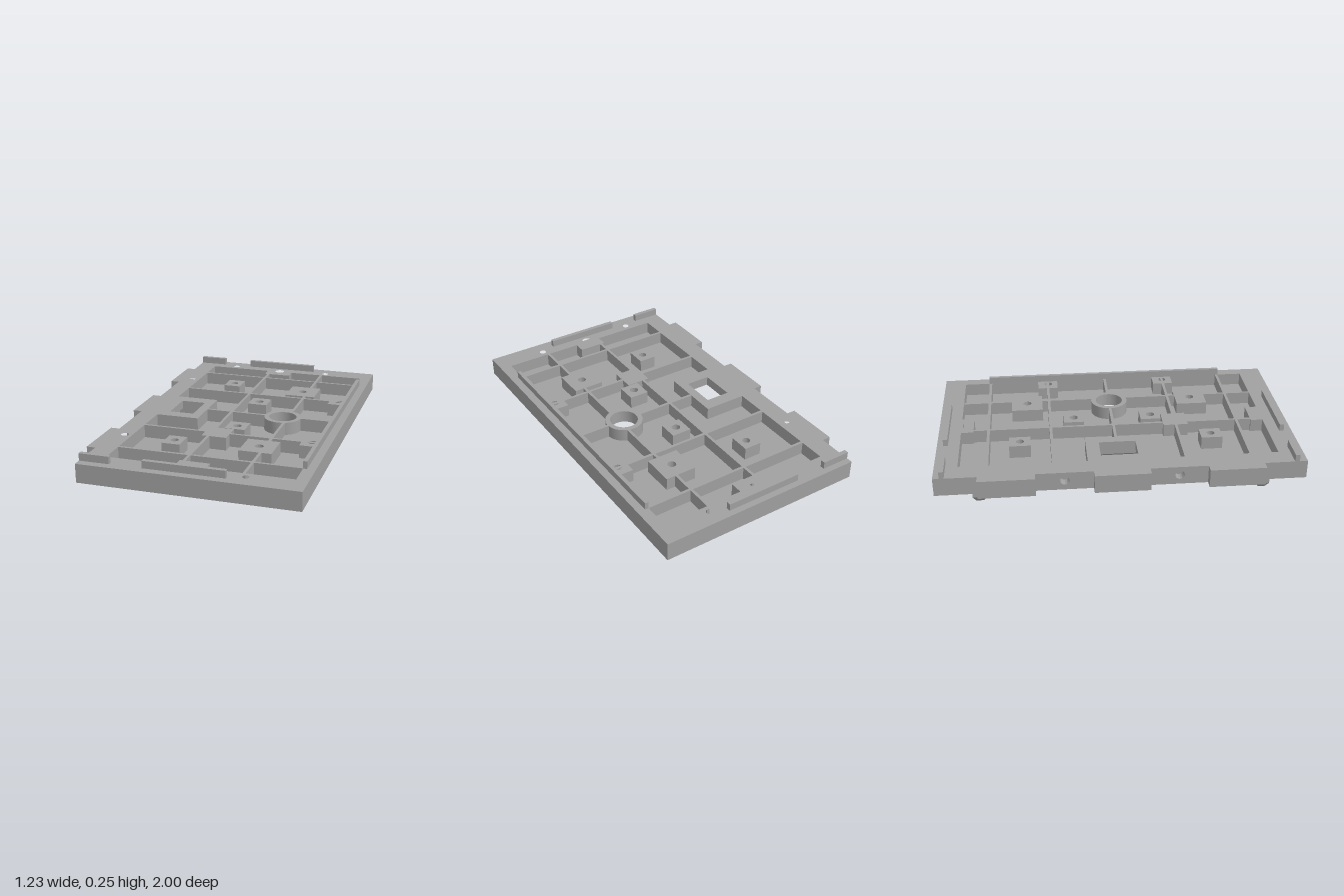
import * as THREE from 'three';
import { toCreasedNormals } from 'three/addons/utils/BufferGeometryUtils.js';

const BOTTOM = 0.105, FLOOR = 0.135, TOP = 0.208, RAIL = 0.248;

export function createModel() {
  const model = new THREE.Group();
  const grey = new THREE.MeshStandardMaterial({ color: 0xa0a0a0 });

  const add = (name, geometry) => {
    const mesh = new THREE.Mesh(geometry, grey);
    mesh.name = name;
    model.add(mesh);
    return mesh;
  };
  const box = (name, x0, x1, y0, y1, z0, z1) =>
    add(name, new THREE.BoxGeometry(x1 - x0, y1 - y0, z1 - z0))
      .position.set((x0 + x1) / 2, (y0 + y1) / 2, (z0 + z1) / 2);

  // Plan-view helpers: points are [x, z]
  const outline = (Type, pts) => new Type(pts.map(p => new THREE.Vector2(...p)));
  const rect = (x0, x1, z0, z1) => [[x0, z0], [x1, z0], [x1, z1], [x0, z1]];
  const rectHole = (...r) => outline(THREE.Path, rect(...r));
  const circle = ([x, z, r]) => new THREE.Path().absarc(x, z, r, 0, Math.PI * 2, true);
  const slab = (name, shape, holes, y0, y1) => {
    shape.holes.push(...holes);
    const g = new THREE.ExtrudeGeometry(shape, { depth: y1 - y0, bevelEnabled: false, curveSegments: 24 });
    g.rotateX(Math.PI / 2).translate(0, y1, 0);
    return add(name, toCreasedNormals(g, 0.6));
  };

  // Outer outline: tabs on the right edge, gaps left for the drilled inserts
  const edge = [[0.61, 1], [0.61, -1], [-0.565, -1]];
  const tabs = [[-0.77, -0.465], [-0.155, 0.147], [0.46, 0.765]];
  const inserts = [-0.31, 0.306];
  tabs.forEach(([a, b], i) => {
    edge.push([-0.565, a], [-0.615, a], [-0.615, b], [-0.565, b]);
    if (i < 2) {
      const c = inserts[i];
      edge.push([-0.565, c - 0.06], [-0.515, c - 0.06], [-0.515, c + 0.06], [-0.565, c + 0.06]);
    }
  });
  edge.push([-0.565, 1]);

  // Holes that go right through
  const rimHoles = [
    [-0.31, -0.915, 0.019], [0.304, -0.915, 0.019], [-0.31, 0.908, 0.019], [0.304, 0.908, 0.019],
    [0, -0.885, 0.029], [0, 0.88, 0.029],
  ];
  const blockHoles = [
    [0.252, -0.495, 0.024], [0.252, 0.49, 0.024], [0.047, -0.228, 0.024], [0.047, 0.222, 0.024],
    [0.508, -0.362, 0.023], [0.508, 0.355, 0.023],
  ];
  const bore = [0.252, -0.003, 0.079];

  // Floor plate, opened under the window boss
  slab('floorPlate', outline(THREE.Shape, edge),
    [...[...rimHoles, ...blockHoles, bore].map(circle), rectHole(-0.445, -0.217, -0.168, 0.16)],
    BOTTOM, FLOOR);

  // Rim around the stepped pocket
  const pocket = [
    [-0.455, -0.875], [-0.08, -0.875], [-0.08, -0.805], [0.083, -0.805], [0.083, -0.875], [0.545, -0.875],
    [0.545, 0.865], [0.083, 0.865], [0.083, 0.797], [-0.08, 0.797], [-0.08, 0.865], [-0.455, 0.865],
  ];
  slab('rim', outline(THREE.Shape, edge),
    [outline(THREE.Path, pocket), ...[...rimHoles, [-0.497, -0.542, 0.022], [-0.497, 0.535, 0.022]].map(circle)],
    FLOOR, TOP);

  // Window boss, hollow below: side frame and a narrower upper frame
  const boss = rect(-0.455, -0.207, -0.18, 0.172);
  slab('windowBossWall', outline(THREE.Shape, boss), [rectHole(-0.445, -0.217, -0.168, 0.16)], FLOOR, 0.16);
  slab('windowBossTop', outline(THREE.Shape, boss), [rectHole(-0.402, -0.26, -0.105, 0.1)], 0.16, TOP);

  // Drilled inserts in the right edge
  for (const z of inserts) {
    const shape = outline(THREE.Shape, rect(-0.06, 0.06, BOTTOM, TOP));
    shape.holes.push(circle([0, 0.16, 0.025]));
    const g = new THREE.ExtrudeGeometry(shape, { depth: 0.05, bevelEnabled: false, curveSegments: 24 });
    g.rotateY(Math.PI / 2).translate(-0.565, 0, z);
    add('sideHoleInsert', toCreasedNormals(g, 0.6));
  }

  // Drilled mounting blocks: [x0, x1, z0, z1], hole
  const blocks = [
    [[0.164, 0.344, -0.587, -0.405], blockHoles[0]],
    [[0.164, 0.344, 0.4, 0.58], blockHoles[1]],
    [[-0.01, 0.105, -0.288, -0.172], blockHoles[2]],
    [[-0.01, 0.105, 0.16, 0.278], blockHoles[3]],
    [[0.45, 0.545, -0.425, -0.305], blockHoles[4]],
    [[0.45, 0.545, 0.295, 0.415], blockHoles[5]],
    [[-0.26, -0.158, -0.603, -0.484], [-0.209, -0.542, 0.022]],
    [[-0.26, -0.158, 0.475, 0.595], [-0.209, 0.535, 0.022]],
  ];
  for (const [r, hole] of blocks)
    slab('mountingBlock', outline(THREE.Shape, rect(...r)), [circle(hole)], FLOOR, TOP);

  // Ring around the large bore
  const ring = new THREE.Shape().absarc(bore[0], bore[1], 0.107, 0, Math.PI * 2, false);
  slab('boreRing', ring, [circle(bore)], FLOOR, TOP);

  // Stiffening ribs
  for (const z of [-0.72, -0.365, 0.355, 0.713])
    box('crossRib', -0.455, 0.545, FLOOR, TOP, z - 0.008, z + 0.008);
  for (const [a, b] of [[-0.207, 0.148], [0.356, 0.545]])
    box('crossRib', a, b, FLOOR, TOP, -0.013, 0.003);
  box('longRib', -0.065, -0.049, FLOOR, TOP, -0.805, 0.797);
  for (const [a, b] of [[-0.875, -0.587], [-0.405, -0.104], [0.098, 0.4], [0.58, 0.865]])
    box('longRib', 0.275, 0.291, FLOOR, TOP, a, b);

  // Raised rails on the rim
  for (const [a, b] of [[-0.965, -0.94], [0.93, 0.955]]) {
    box('shortEndRail', -0.565, -0.4, TOP, RAIL, a, b);
    box('longEndRail', -0.222, 0.217, TOP, RAIL, a, b);
  }
  box('sideRail', 0.545, 0.566, TOP, RAIL, -0.728, 0.722);

  // Pin under the plate with its solid block above
  box('pinBlock', -0.093, 0.047, FLOOR, TOP, 0.283, 0.425);
  add('pin', new THREE.CylinderGeometry(0.03, 0.03, BOTTOM, 32)).position.set(-0.023, BOTTOM / 2, 0.362);

  // Underside bars with chamfered lower edges
  const bar = (name, x0, x1, z0, z1) => {
    const h = 0.06, inset = 0.018;
    let g = new THREE.BoxGeometry(x1 - x0, h, z1 - z0, 1, 2, 1);
    const p = g.attributes.position;
    for (let i = 0; i < p.count; i++) {
      if (p.getY(i) > -h / 4) continue;
      p.setX(i, p.getX(i) - Math.sign(p.getX(i)) * inset);
      p.setZ(i, p.getZ(i) - Math.sign(p.getZ(i)) * inset);
    }
    g = g.toNonIndexed();
    g.computeVertexNormals();
    add(name, g).position.set((x0 + x1) / 2, BOTTOM - h / 2, (z0 + z1) / 2);
  };
  bar('longUnderBar', -0.165, -0.103, -0.8, 0.8);
  bar('shortUnderBar', -0.555, -0.16, -0.8, -0.725);
  bar('shortUnderBar', -0.555, -0.16, 0.725, 0.8);

  return model;
}
